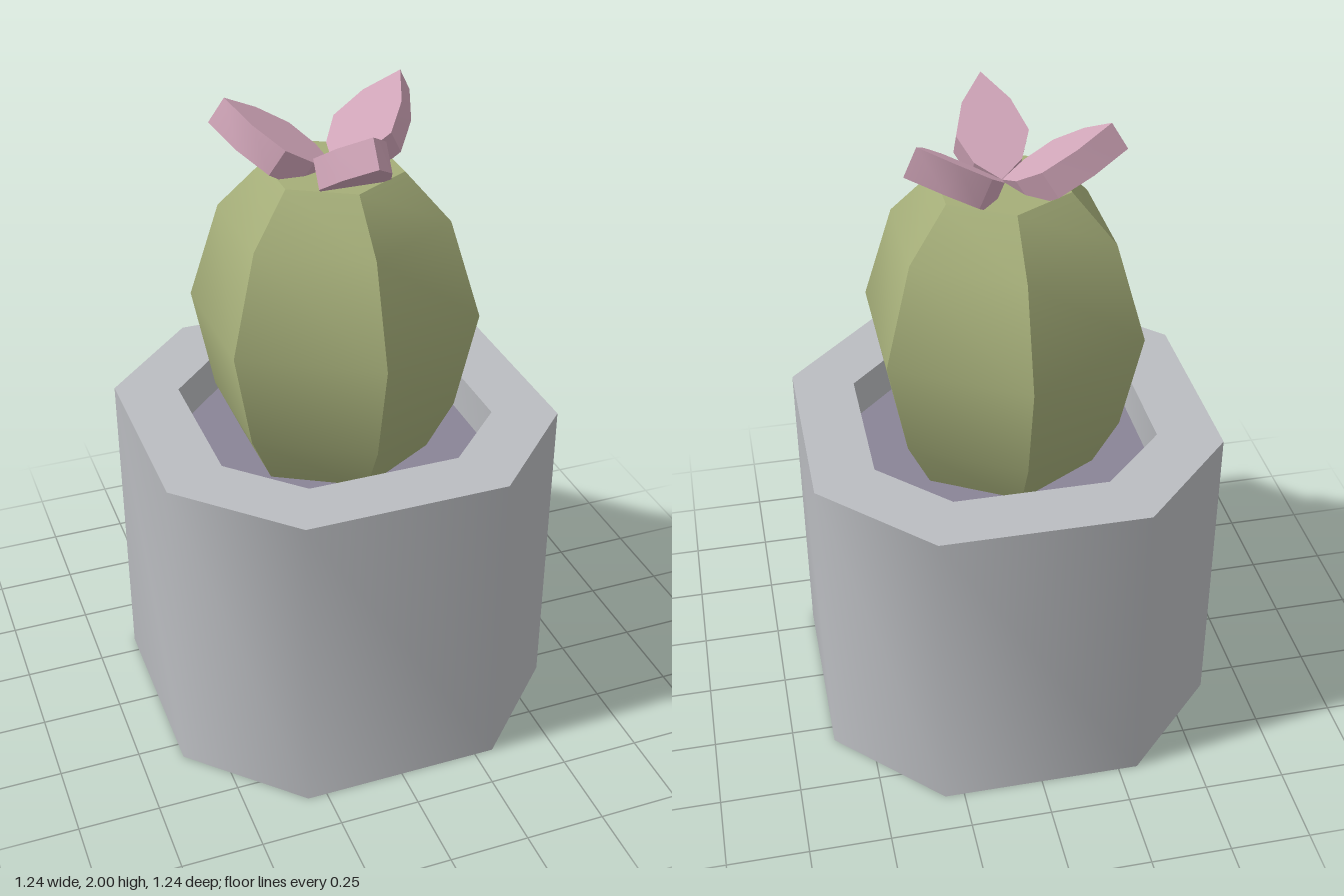
import * as THREE from 'three';
import { toCreasedNormals } from 'three/addons/utils/BufferGeometryUtils.js';

const material = (name, color) => {
  const m = new THREE.MeshStandardMaterial({ color });
  m.name = name;
  return m;
};

// Octagon corners: half width w, corners cut back to c
const octagon = (w, c) =>
  [[c, -w], [w, -c], [w, c], [c, w], [-c, w], [-w, c], [-w, -c], [-c, -w]]
    .map(([x, y]) => new THREE.Vector2(x, y));

// Upright prism from y0 to y1
function prism(shape, y0, y1) {
  const g = new THREE.ExtrudeGeometry(shape, { depth: y1 - y0, bevelEnabled: false });
  g.rotateX(-Math.PI / 2).translate(0, y0, 0);
  return toCreasedNormals(g, 1);
}

export function createModel() {
  const model = new THREE.Group();
  model.name = 'pottedCactus';

  const potGrey = material('potGrey', 0xbbbdc1);
  const soilPurple = material('soilPurple', 0x8a8496);
  const cactusGreen = material('cactusGreen', 0xa5ae79);
  const petalPink = material('petalPink', 0xd0a5b8);

  const add = (name, geometry, mat) => {
    const mesh = new THREE.Mesh(geometry, mat);
    mesh.name = name;
    model.add(mesh);
    return mesh;
  };

  // Thick-walled pot with a closed bottom, filled with soil
  const wall = new THREE.Shape(octagon(0.62, 0.31));
  wall.holes.push(new THREE.Path(octagon(0.433, 0.233)));
  const inside = new THREE.Shape(octagon(0.433, 0.233));
  add('potWall', prism(wall, 0, 1.012), potGrey);
  add('potBottom', prism(inside, 0, 0.05), potGrey);
  add('soil', prism(inside, 0.8, 0.88), soilPurple);

  // Six-sided cactus body with sharp ribs and softly curved panels
  const profile = [[0.29, 0.87], [0.375, 1.04], [0.44, 1.35], [0.345, 1.65], [0.208, 1.795], [0, 1.795]]
    .map(([r, y]) => new THREE.Vector2(r, y));
  add('cactusBody', toCreasedNormals(new THREE.LatheGeometry(profile, 6), 0.7), cactusGreen);

  // Flower of three thick, tilted petals
  const petalShape = new THREE.Shape(
    [[0, 0], [0.07, 0.062], [0.107, 0.155], [0.072, 0.265], [0, 0.365], [-0.072, 0.265], [-0.107, 0.155], [-0.07, 0.062]]
      .map(([x, y]) => new THREE.Vector2(x, y)));
  const petal = new THREE.ExtrudeGeometry(petalShape, { depth: 0.088, bevelEnabled: false });
  petal.rotateX(Math.PI / 2 - 0.575);
  const petalGeometry = toCreasedNormals(petal, 0.4);
  [['frontPetal', 0], ['leftPetal', 120], ['rightPetal', -111.5]].forEach(([name, degrees]) => {
    const mesh = add(name, petalGeometry, petalPink);
    mesh.position.y = 1.8015;
    mesh.rotation.y = THREE.MathUtils.degToRad(degrees);
  });

  return model;
}
